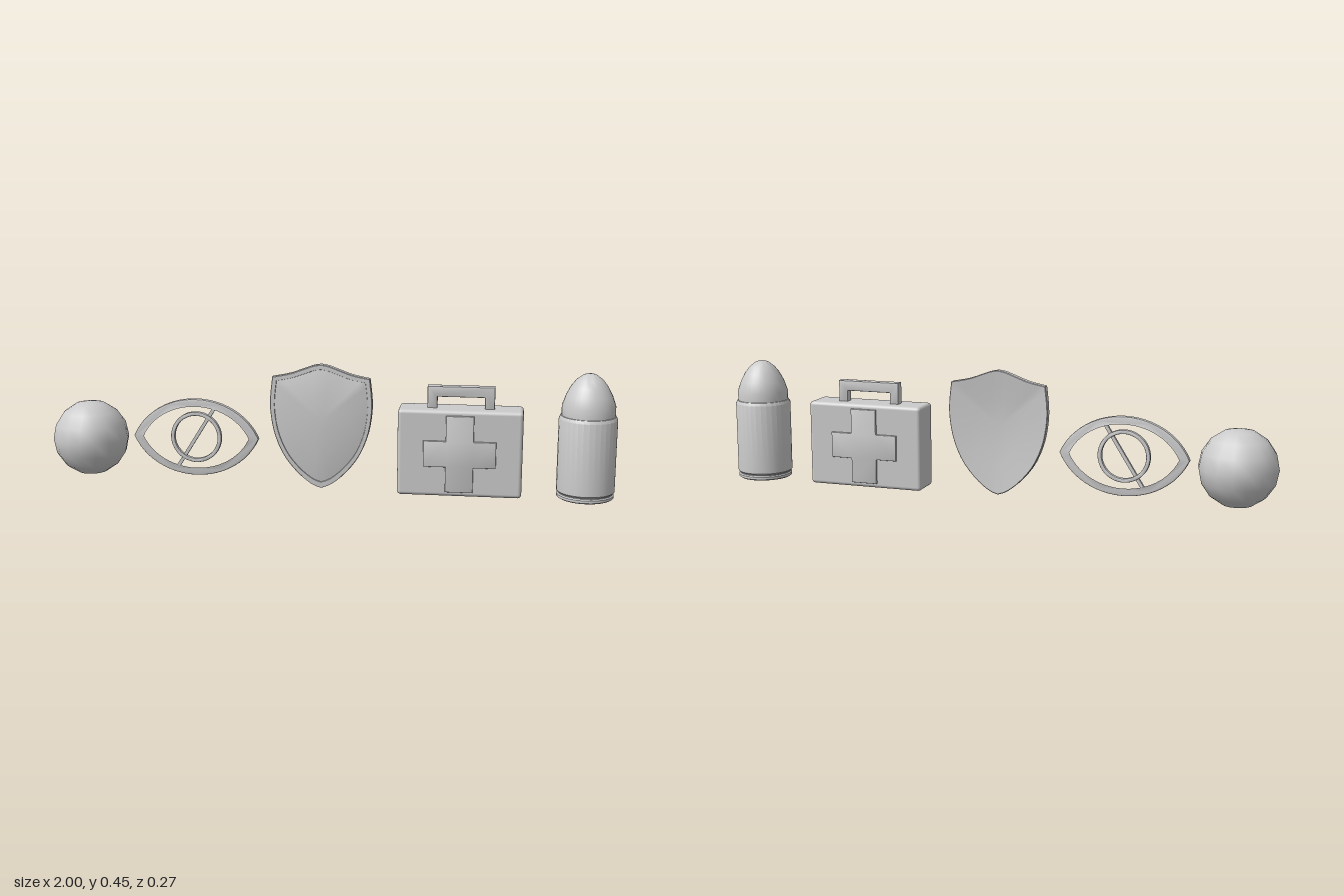
import * as THREE from 'three';
import { toCreasedNormals } from 'three/addons/utils/BufferGeometryUtils.js';
import { RoundedBoxGeometry } from 'three/addons/geometries/RoundedBoxGeometry.js';

const grey = new THREE.MeshStandardMaterial({ color: 0xcccccc });

function part(parent, name, geometry, x = 0, y = 0, z = 0) {
  const mesh = new THREE.Mesh(geometry, grey);
  mesh.name = name;
  mesh.position.set(x, y, z);
  parent.add(mesh);
  return mesh;
}

function group(parent, name, x, y) {
  const g = new THREE.Group();
  g.name = name;
  g.position.set(x, y, 0);
  parent.add(g);
  return g;
}

// Extrusion centred on z with a small bevel that stays inside the outline
function slab(shape, depth, bevel, curveSegments = 12) {
  const geo = new THREE.ExtrudeGeometry(shape, {
    depth: depth - 2 * bevel, curveSegments, bevelEnabled: true, bevelSegments: 2,
    bevelThickness: bevel, bevelSize: bevel, bevelOffset: -bevel,
  });
  geo.translate(0, 0, -depth / 2 + bevel);
  return toCreasedNormals(geo, 0.5);
}

// Pointed almond outline
function almond(target, w, h) {
  target.moveTo(-w, 0);
  target.bezierCurveTo(-0.84 * w, 0.61 * h, -0.44 * w, h, 0, h);
  target.bezierCurveTo(0.44 * w, h, 0.84 * w, 0.61 * h, w, 0);
  target.bezierCurveTo(0.84 * w, -0.61 * h, 0.44 * w, -h, 0, -h);
  target.bezierCurveTo(-0.44 * w, -h, -0.84 * w, -0.61 * h, -w, 0);
  return target;
}

function buildEye(root) {
  const eye = group(root, 'eye', -0.476, 0.173);
  const lids = almond(new THREE.Shape(), 0.227, 0.139);
  lids.holes.push(almond(new THREE.Path(), 0.196, 0.116));
  part(eye, 'eyelidRing', slab(lids, 0.022, 0.004));

  const iris = new THREE.Shape().absarc(0, 0, 0.092, 0, Math.PI * 2);
  iris.holes.push(new THREE.Path().absarc(0, 0, 0.078, 0, Math.PI * 2));
  part(eye, 'irisRing', slab(iris, 0.018, 0.003, 32));

  const bar = part(eye, 'diagonalBar', new THREE.BoxGeometry(0.275, 0.012, 0.012));
  bar.rotation.z = 1.01;
}

// Shield: its outline lofted through scaled rings, domed to the front
function shieldGeometry() {
  const v = (x, y) => new THREE.Vector2(x, y);
  const top = new THREE.SplineCurve([v(0.172, 0.401), v(0.112, 0.413), v(0.064, 0.43), v(0.025, 0.444), v(0, 0.448)]).getPoints(10);
  const side = new THREE.SplineCurve([v(0, 0.004), v(0.035, 0.018), v(0.085, 0.059), v(0.133, 0.12), v(0.165, 0.195),
    v(0.179, 0.27), v(0.18, 0.33), v(0.172, 0.401)]).getPoints(20);
  const half = [...side, ...top.slice(1)];
  const mirrored = half.slice(1, -1).reverse().map((p) => v(-p.x, p.y));
  const outline = [...half, ...mirrored];
  const n = outline.length, cy = 0.25;
  // [scale, z] from the front centre, over the rim, to the back centre
  const rings = [[0, 0.027], [0.25, 0.026], [0.5, 0.022], [0.75, 0.016], [0.91, 0.01], [0.915, 0.013], [0.99, 0.0125], [1, 0.011],
    [1, -0.012], [0.99, -0.0135], [0.75, -0.008], [0.5, -0.003], [0.25, 0.001], [0, 0.002]];
  const pos = [], index = [];
  for (const [s, z] of rings) for (const p of outline) pos.push(p.x * s, cy + (p.y - cy) * s, z);
  for (let r = 0; r < rings.length - 1; r++) {
    for (let i = 0; i < n; i++) {
      const a = r * n + i, b = r * n + (i + 1) % n, c = a + n, d = b + n;
      if (r < rings.length - 2) index.push(a, c, d);
      if (r > 0) index.push(a, d, b);
      if (r === rings.length - 2) index.push(a, c, b).valueOf;
    }
  }
  const geo = new THREE.BufferGeometry();
  geo.setAttribute('position', new THREE.Float32BufferAttribute(pos, 3));
  // the last ring is one point, so its single triangle fan is enough
  geo.setIndex(index.filter((_, k) => {
    const t = k - (k % 3);
    return !(index[t + 1] >= (rings.length - 1) * n && index[t + 2] >= (rings.length - 1) * n)
      && !(index[t + 1] >= (rings.length - 1) * n && index[t + 2] < (rings.length - 1) * n && index[t] === index[t + 2]);
  }));
  return toCreasedNormals(geo, 0.5);
}

function buildKit(root) {
  const kit = group(root, 'medicalKit', 0.464, 0);
  part(kit, 'case', new RoundedBoxGeometry(0.43, 0.304, 0.122, 3, 0.013), 0, 0.156, 0);

  // Raised cross on the front and back
  const [a, b, c, d] = [0.048, 0.125, 0.046, 0.135];
  const cross = new THREE.Shape([[a, d], [-a, d], [-a, c], [-b, c], [-b, -c], [-a, -c],
    [-a, -d], [a, -d], [a, -c], [b, -c], [b, c], [a, c]].map(([x, y]) => new THREE.Vector2(x, y)));
  for (const s of [1, -1]) {
    part(kit, s > 0 ? 'frontCross' : 'backCross', slab(cross, 0.024, 0.003), 0, 0.156, s * 0.058);
  }

  // Carrying handle
  const handle = new THREE.Shape([[-0.116, 0], [-0.082, 0], [-0.082, 0.042], [0.082, 0.042], [0.082, 0],
    [0.116, 0], [0.116, 0.079], [-0.116, 0.079]].map(([x, y]) => new THREE.Vector2(x, y)));
  part(kit, 'handle', slab(handle, 0.034, 0.004), 0, 0.305, 0);
}

function buildBullet(root) {
  const bullet = group(root, 'bullet', 0.898, 0);
  const lathe = (name, points) => part(bullet, name, toCreasedNormals(
    new THREE.LatheGeometry(points.map(([r, y]) => new THREE.Vector2(r, y)), 32), 0.5));
  lathe('casing', [[0, 0.004], [0.092, 0.004], [0.098, 0.008], [0.098, 0.017], [0.094, 0.021],
    [0.094, 0.024], [0.1, 0.03], [0.1, 0.283], [0.094, 0.294], [0.088, 0.295]]);
  lathe('tip', [[0.091, 0.292], [0.0915, 0.328], [0.079, 0.364], [0.063, 0.395], [0.045, 0.418],
    [0.024, 0.434], [0.008, 0.44], [0, 0.44]]);
  lathe('primer', [[0, 0], [0.042, 0], [0.045, 0.002], [0.045, 0.006]]);
}

export function createModel() {
  const root = new THREE.Group();
  root.name = 'iconSet';
  part(root, 'ball', new THREE.SphereGeometry(0.135, 16, 8), -0.865, 0.16, 0);
  buildEye(root);
  part(root, 'shield', shieldGeometry(), -0.025, 0, 0);
  buildKit(root);
  buildBullet(root);
  return root;
}
